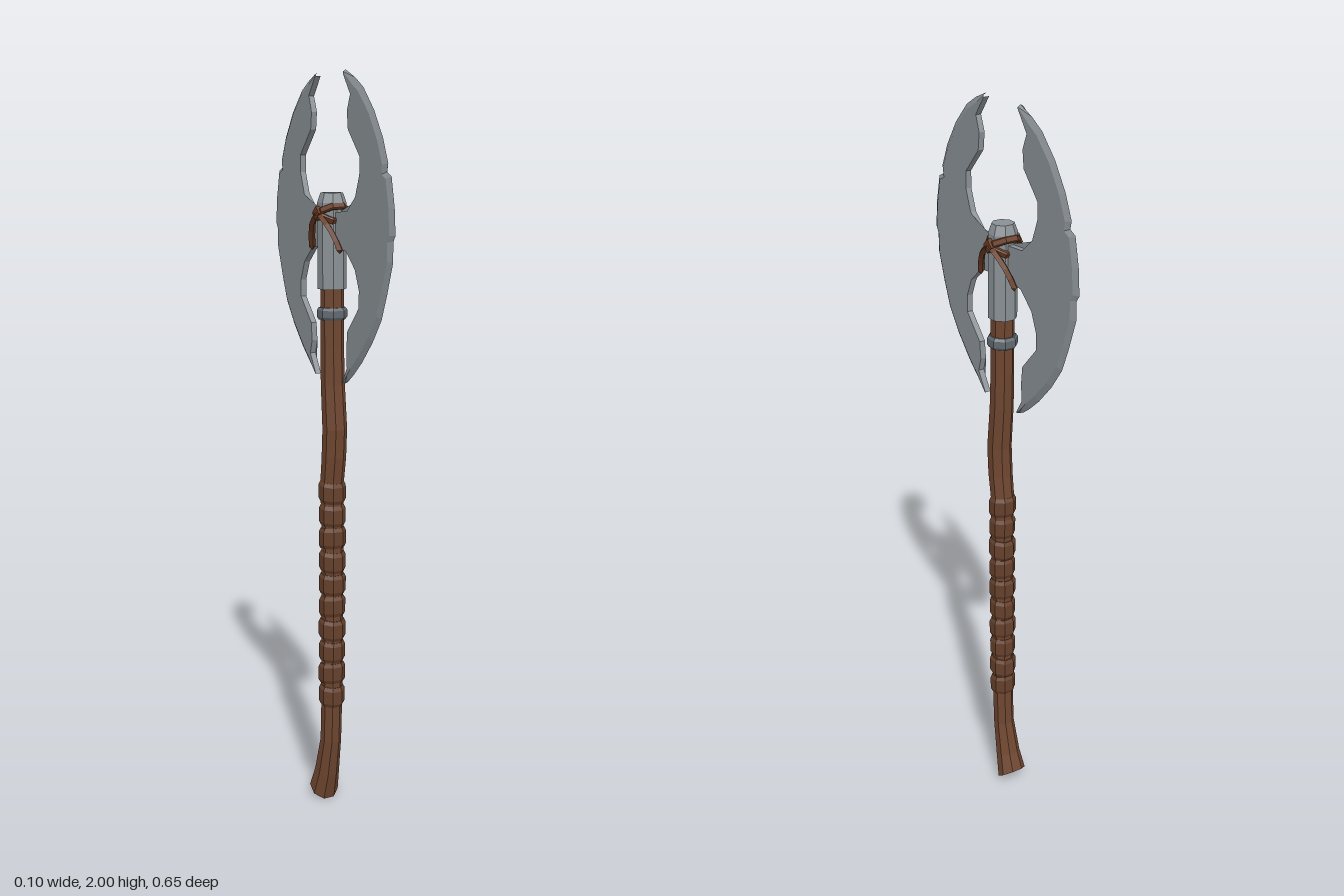
import * as THREE from 'three';

const mat = (name, color) => {
  const m = new THREE.MeshStandardMaterial({ color, flatShading: true });
  m.name = name;
  return m;
};

// Flat shaded mesh from a list of corner points (three per triangle)
function facetMesh(name, points, material) {
  const g = new THREE.BufferGeometry().setFromPoints(points);
  g.computeVertexNormals();
  const mesh = new THREE.Mesh(g, material);
  mesh.name = name;
  return mesh;
}
const quad = (out, a, b, c, d) => out.push(a, b, c, a, c, d);

// Eight-sided solid through rings [y, z, radius, tilt], listed from bottom to top
function loft(name, rings, material, sides = 8) {
  const at = ([y, z, r, tilt = 0], j) => {
    const t = ((j + 0.5) / sides) * Math.PI * 2, c = r * Math.cos(t);
    return new THREE.Vector3(r * Math.sin(t), y - c * Math.sin(tilt), z + c * Math.cos(tilt));
  };
  const out = [], last = rings.length - 1;
  const mid = ([y, z]) => new THREE.Vector3(0, y, z);
  for (let j = 0; j < sides; j++) {
    for (let i = 0; i < last; i++) {
      quad(out, at(rings[i], j), at(rings[i], j + 1), at(rings[i + 1], j + 1), at(rings[i + 1], j));
    }
    out.push(mid(rings[0]), at(rings[0], j + 1), at(rings[0], j));
    out.push(mid(rings[last]), at(rings[last], j), at(rings[last], j + 1));
  }
  return facetMesh(name, out, material);
}

// Bent shaft: y, z, radius, tilt
const SHAFT = [
  [0.027, -0.046, 0.041, 0.65], [0.09, -0.026, 0.034, 0.3], [0.19, -0.004, 0.029, 0.12],
  [0.3, 0.001, 0.029], [0.6, 0.004, 0.03], [0.8, 0.005, 0.03], [0.93, 0.003, 0.032, -0.1],
  [1.0, 0.013, 0.033, -0.1], [1.08, 0.018, 0.033], [1.2, 0.007, 0.032, 0.08],
  [1.3, 0.004, 0.031], [1.46, 0.003, 0.031],
];
function shaftZ(y) {
  const i = Math.max(1, SHAFT.findIndex((s) => s[0] >= y));
  const [a, b] = [SHAFT[i - 1], SHAFT[i]];
  return THREE.MathUtils.lerp(a[1], b[1], (y - a[0]) / (b[0] - a[0]));
}

// Blade stations from upper tip to lower tip: outer z, y, inner z, y
const BLADE = [
  [0.074, 2.0, 0.074, 1.99], [0.122, 1.98, 0.111, 1.94], [0.164, 1.955, 0.095, 1.9],
  [0.217, 1.9, 0.1, 1.855], [0.26, 1.835, 0.159, 1.79], [0.286, 1.775, 0.159, 1.745],
  [0.281, 1.755, 0.138, 1.69], [0.302, 1.745, 0.095, 1.653], [0.318, 1.67, 0.026, 1.648],
  [0.323, 1.605, 0.026, 1.6], [0.313, 1.59, 0.026, 1.558], [0.313, 1.54, 0.09, 1.553],
  [0.286, 1.46, 0.138, 1.51], [0.26, 1.395, 0.159, 1.46], [0.217, 1.335, 0.159, 1.415],
  [0.164, 1.277, 0.1, 1.35], [0.122, 1.24, 0.095, 1.303], [0.095, 1.22, 0.106, 1.267],
  [0.074, 1.21, 0.074, 1.215],
];
function blade(name, material) {
  const T = 0.008, out = [];
  // Section: sharp outer edge, bevel line, square inner edge
  const section = ([oz, oy, iz, iy], side) => {
    const o = new THREE.Vector3(0, oy, oz), inner = new THREE.Vector3(0, iy, iz);
    const bevel = o.clone().lerp(inner, Math.min(0.5, 0.016 / o.distanceTo(inner)));
    bevel.x = inner.x = side * T;
    return [o, bevel, inner];
  };
  for (let k = 0; k < BLADE.length - 1; k++) {
    const a = section(BLADE[k], 1), b = section(BLADE[k + 1], 1);
    const c = section(BLADE[k], -1), d = section(BLADE[k + 1], -1);
    for (let n = 0; n < 2; n++) {
      quad(out, a[n], b[n], b[n + 1], a[n + 1]);
      quad(out, c[n + 1], d[n + 1], d[n], c[n]);
    }
    quad(out, a[2], b[2], d[2], c[2]);
  }
  return facetMesh(name, out, material);
}

export function createModel() {
  const model = new THREE.Group();
  model.name = 'doubleAxe';
  const steel = mat('steel', 0x8a9195);
  const darkSteel = mat('darkSteel', 0x626a70);
  const wood = mat('wood', 0x6f4630);
  const leather = mat('leather', 0x66402b);
  const strap = mat('strapLeather', 0x6a3b22);

  model.add(loft('shaft', SHAFT, wood));

  // Leather grip bands, each leaning a little differently
  const grip = new THREE.Group();
  grip.name = 'grip';
  for (let i = 0; i < 10; i++) {
    const y = 0.297 + i * 0.0645, h = 0.057, lean = [0.12, -0.1, 0.05][i % 3];
    const r = 0.036 + (i % 2) * 0.001;
    grip.add(loft('gripBand', [[0, r - 0.005], [0.01, r], [h - 0.01, r], [h, r - 0.005]]
      .map(([dy, rad]) => [y + dy, shaftZ(y + dy), rad, lean]), leather));
  }
  model.add(grip);

  // Metal collar and socket
  model.add(loft('collar', [[1.37, 0.003, 0.035], [1.377, 0.003, 0.04],
    [1.395, 0.003, 0.04], [1.402, 0.003, 0.035]], darkSteel));
  model.add(loft('socket', [[1.45, 0.003, 0.038], [1.672, 0.001, 0.038], [1.697, 0.001, 0.029]], steel));

  // Two blades facing opposite ways
  const front = blade('frontBlade', steel), back = blade('backBlade', steel);
  back.rotation.y = Math.PI;
  model.add(front, back);

  // Crossed straps around the socket, with a knot and hanging ends on each side
  const straps = new THREE.Group();
  straps.name = 'straps';
  for (const s of [-1, 1]) {
    const band = loft('strapLoop', [[-0.009, 0, 0.041], [-0.006, 0, 0.044],
      [0.006, 0, 0.044], [0.009, 0, 0.041]], strap);
    band.rotation.x = s * 0.5;
    band.scale.z = 1.1;
    band.position.y = 1.645;
    straps.add(band);

    const knot = new THREE.Mesh(new THREE.BoxGeometry(0.012, 0.026, 0.026), strap);
    knot.name = 'strapKnot';
    knot.rotation.x = Math.PI / 4;
    knot.position.set(s * 0.041, 1.645, 0);
    straps.add(knot);

    for (const f of [-1, 1]) {
      const path = new THREE.CatmullRomCurve3([
        new THREE.Vector3(s * 0.041, 1.645, 0), new THREE.Vector3(s * 0.036, 1.622, f * 0.035),
        new THREE.Vector3(s * 0.026, 1.59, f * 0.06), new THREE.Vector3(s * 0.017, 1.555, f * 0.076),
      ]);
      const end = new THREE.Mesh(new THREE.TubeGeometry(path, 5, 0.009, 4), strap);
      end.name = 'strapEnd';
      const tip = new THREE.Mesh(new THREE.OctahedronGeometry(0.01), strap);
      tip.name = 'strapTip';
      tip.position.set(s * 0.017, 1.555, f * 0.076);
      straps.add(end, tip);
    }
  }
  model.add(straps);
  return model;
}
